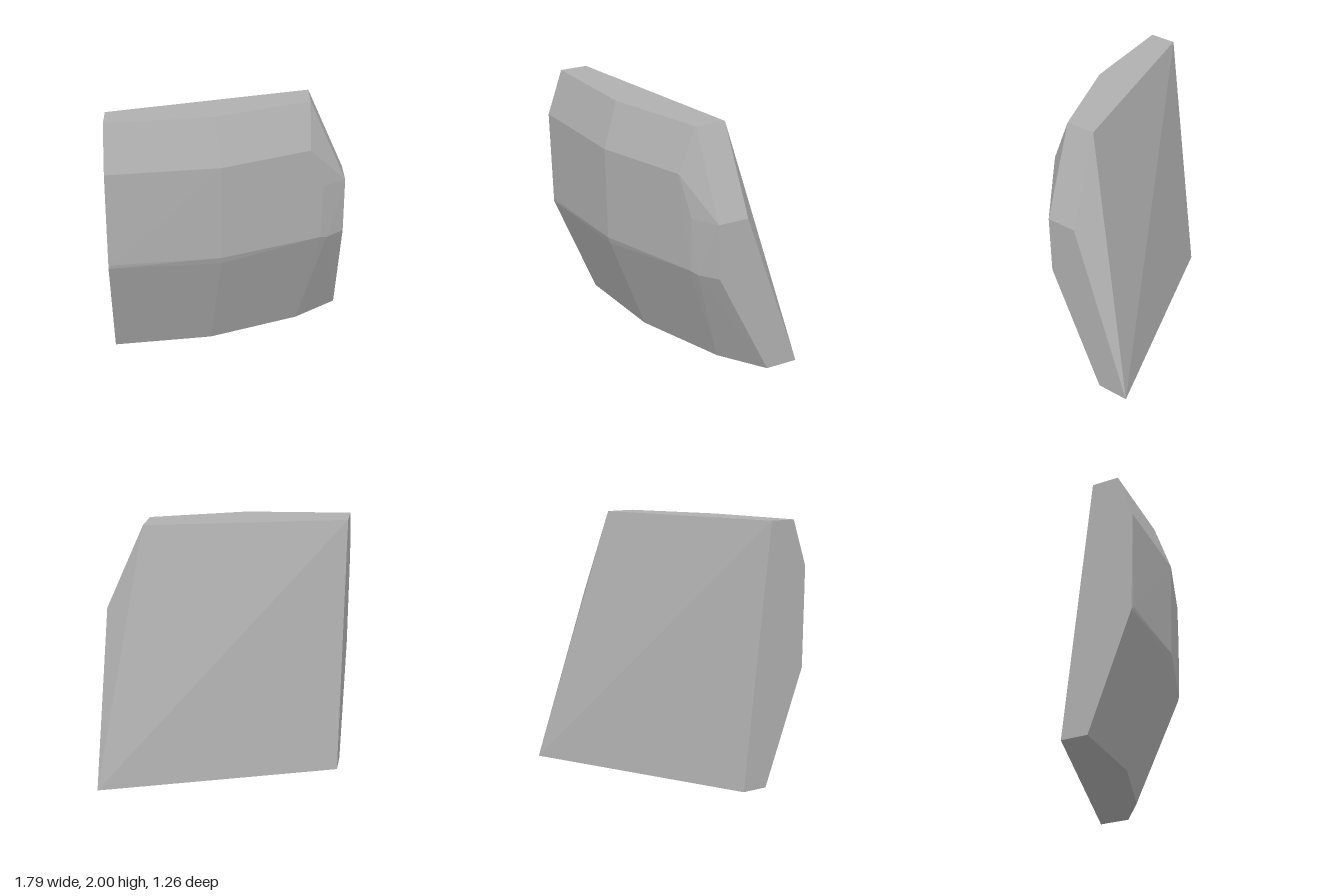
import * as THREE from 'three';
import { ConvexGeometry } from 'three/addons/geometries/ConvexGeometry.js';

export function createModel() {
  const group = new THREE.Group();
  group.name = 'facetedSlab';
  const grey = new THREE.MeshStandardMaterial({ color: 0xb0b0b0 });
  grey.name = 'stone grey';

  // Corner rings of the convex block, as [x, y, z]
  const topFront = [[-0.897, 2, 0.51], [-0.1, 2, 0.405], [0.61, 2, 0.115]];
  const browRow = [[-0.897, 1.65, 0.632], [-0.06, 1.65, 0.525], [0.61, 1.66, 0.25]];
  const shoulder = [[0.72, 1.34, 0.2], [0.897, 1.34, 0.075]];
  const waistRow = [
    [-0.87, 0.91, 0.62], [-0.897, 0.88, 0.618],
    [-0.06, 0.905, 0.513], [-0.06, 0.85, 0.495],
    [0.71, 0.91, 0.2], [0.76, 0.89, 0.165], [0.897, 0.895, 0.06],
  ];
  const bottomFront = [[-0.897, 0, 0.272], [-0.14, 0, 0.17], [0.56, 0, -0.12], [0.897, 0, -0.375]];
  const back = [
    [-0.897, 2, 0.298], [0.61, 2, -0.12], [0.897, 1.34, -0.165],
    [0.897, 0, -0.632], [-0.897, 0, 0.06],
  ];

  // The faceted solid enclosed by those corners
  const corners = [...topFront, ...browRow, ...shoulder, ...waistRow, ...bottomFront, ...back]
    .map((p) => new THREE.Vector3(...p));
  const slab = new THREE.Mesh(new ConvexGeometry(corners), grey);
  slab.name = 'slab';
  group.add(slab);
  return group;
}
